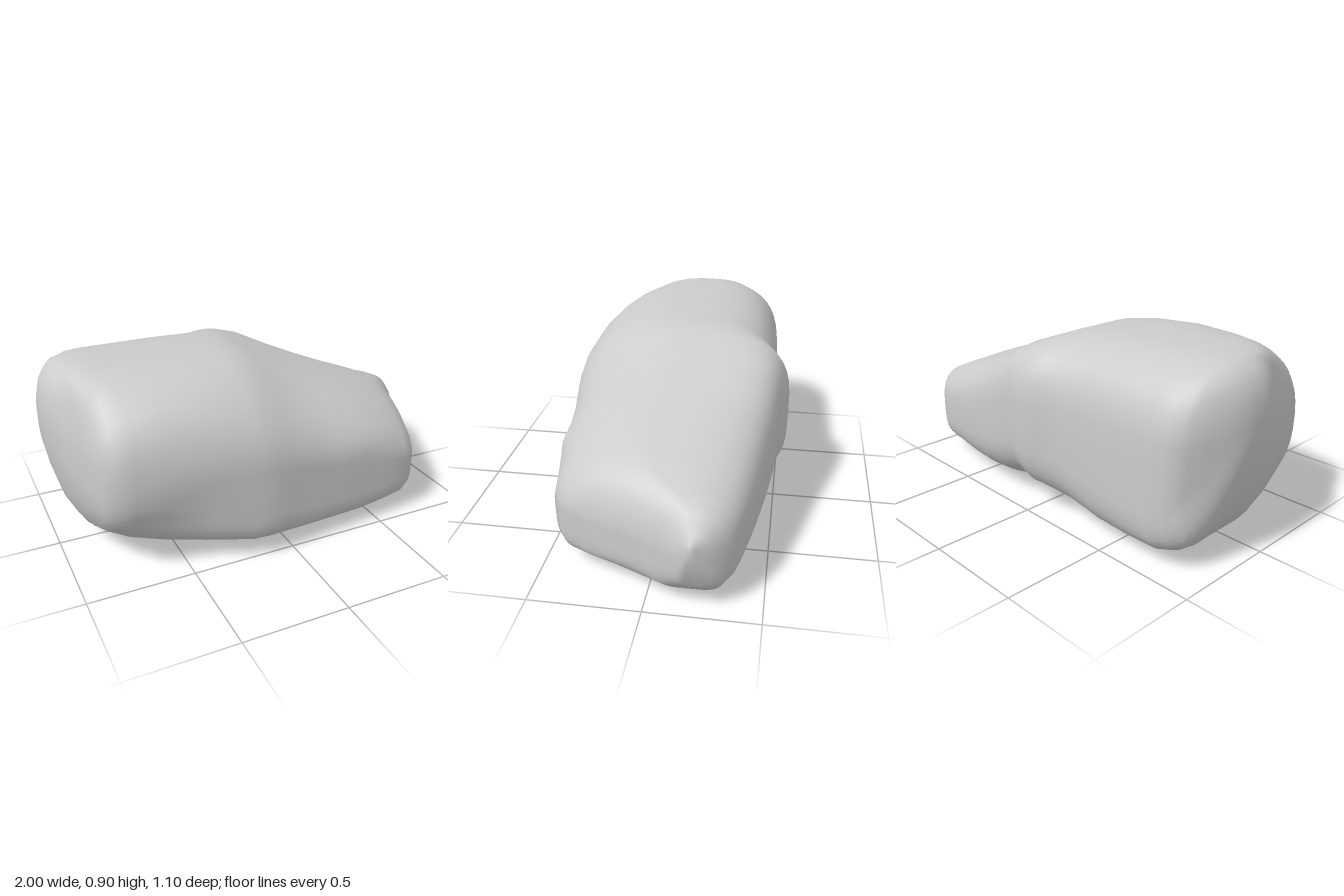
import * as THREE from 'three';

// Cross-sections along x: [x, bottom, top, back z, front z]
const SECTIONS = [
  [-1, 0.5, 0.74, -0.18, 0],
  [-0.975, 0.36, 0.82, -0.25, 0.07],
  [-0.94, 0.23, 0.86, -0.33, 0.16],
  [-0.9, 0.16, 0.885, -0.4, 0.26],
  [-0.87, 0.115, 0.895, -0.43, 0.4],
  [-0.82, 0.08, 0.905, -0.46, 0.455],
  [-0.74, 0.045, 0.905, -0.465, 0.48],
  [-0.6, 0.035, 0.9, -0.47, 0.495],
  [-0.4, 0.03, 0.897, -0.475, 0.525],
  [-0.2, 0.03, 0.89, -0.485, 0.55],
  [-0.1, 0.03, 0.88, -0.525, 0.545],
  [-0.03, 0.03, 0.855, -0.55, 0.535],
  [0.1, 0.03, 0.8, -0.515, 0.515],
  [0.25, 0.025, 0.735, -0.5, 0.5],
  [0.4, 0.02, 0.68, -0.475, 0.485],
  [0.55, 0.03, 0.62, -0.45, 0.47],
  [0.66, 0.04, 0.58, -0.43, 0.455],
  [0.73, 0.05, 0.55, -0.415, 0.41],
  [0.78, 0.055, 0.525, -0.405, 0.31],
  [0.85, 0.07, 0.495, -0.385, 0.12],
  [0.92, 0.085, 0.46, -0.345, -0.03],
  [0.97, 0.15, 0.39, -0.28, -0.13],
  [1, 0.27, 0.36, -0.22, -0.18],
];

// Corner squareness along x: [x, front top, back top, back bottom, front bottom]
const CORNERS = [
  [-1, 2.2, 2.3, 3.5, 2.4],
  [-0.75, 2.5, 3, 6, 2.6],
  [-0.45, 2.6, 3.3, 5, 3.4],
  [-0.15, 2.15, 3.2, 3.3, 6],
  [0.1, 2.05, 3.8, 2.7, 7],
  [0.45, 2.15, 3.2, 3.3, 6],
  [0.72, 1.65, 3, 3.7, 5],
  [1, 1.8, 2.6, 4, 4],
];

// Soft chips and bumps: [x, y, z, radius, push x, push y, push z]
const DENTS = [
  [-0.58, 0.24, 0.48, 0.16, 0, 0, -0.045],
  [-0.58, 0.42, 0.5, 0.08, 0, 0, 0.015],
  [-0.3, 0.3, 0.54, 0.09, 0, 0, -0.02],
  [0.4, 0.47, 0.46, 0.1, 0, 0, 0.02],
  [0.4, 0.02, 0.04, 0.07, 0, -0.02, 0],
  [-0.82, 0.14, 0.36, 0.16, 0.02, 0.03, -0.01],
  [-0.86, 0.78, 0.28, 0.16, 0.01, -0.03, -0.02],
  [0.12, 0.72, -0.42, 0.18, 0, 0.03, -0.015],
  [0.08, 0.76, 0.34, 0.25, 0, -0.02, -0.01],
  [0.02, 0.08, -0.42, 0.16, 0, 0.03, 0.01],
  [-0.86, 0.15, -0.36, 0.1, -0.02, -0.01, -0.01],
  [-0.9, 0.4, -0.4, 0.14, 0.02, 0, 0.01],
];

const AROUND = 48;

function cornersAt(x) {
  const i = Math.max(1, CORNERS.findIndex((row) => row[0] >= x));
  const a = CORNERS[i - 1], b = CORNERS[i];
  const t = (x - a[0]) / (b[0] - a[0]);
  return a.map((v, k) => THREE.MathUtils.lerp(v, b[k], t));
}

// Point on a rounded-square section; each corner has its own squareness
function sectionPoint([x, bottom, top, back, front], angle) {
  const c = Math.cos(angle), s = Math.sin(angle);
  const [, frontTop, backTop, backBottom, frontBottom] = cornersAt(x);
  const power = s > 0 ? (c > 0 ? frontTop : backTop) : (c > 0 ? frontBottom : backBottom);
  const bend = (v) => Math.sign(v) * Math.pow(Math.abs(v), 2 / power);
  const p = new THREE.Vector3(
    x,
    (bottom + top) / 2 + bend(s) * (top - bottom) / 2,
    (front + back) / 2 + bend(c) * (front - back) / 2
  );
  // The underside rises a little towards the front
  if (s < 0) p.y += 0.03 * s * s * THREE.MathUtils.smoothstep(p.z, 0.03, 0.12);
  const start = p.clone();
  for (const [dx, dy, dz, r, px, py, pz] of DENTS) {
    const d2 = start.distanceToSquared(new THREE.Vector3(dx, dy, dz));
    p.addScaledVector(new THREE.Vector3(px, py, pz), Math.exp(-d2 / (r * r)));
  }
  return p;
}

function boulderGeometry() {
  const positions = [], index = [];
  for (const section of SECTIONS) {
    for (let j = 0; j < AROUND; j++) {
      positions.push(...sectionPoint(section, (j / AROUND) * Math.PI * 2).toArray());
    }
  }
  const last = SECTIONS.length - 1;
  // Skin between neighbouring sections
  for (let i = 0; i < last; i++) {
    for (let j = 0; j < AROUND; j++) {
      const k = (j + 1) % AROUND;
      const a = i * AROUND + j, b = a + AROUND;
      const d = i * AROUND + k, c = d + AROUND;
      index.push(a, b, c, a, c, d);
    }
  }
  // Closed ends
  for (const i of [0, last]) {
    const [x, bottom, top, back, front] = SECTIONS[i];
    const centre = positions.length / 3;
    positions.push(x, (bottom + top) / 2, (back + front) / 2);
    for (let j = 0; j < AROUND; j++) {
      const a = i * AROUND + j, b = i * AROUND + (j + 1) % AROUND;
      if (i === 0) index.push(centre, a, b);
      else index.push(centre, b, a);
    }
  }
  const geometry = new THREE.BufferGeometry();
  geometry.setAttribute('position', new THREE.Float32BufferAttribute(positions, 3));
  geometry.setIndex(index);
  geometry.computeVertexNormals();
  return geometry;
}

export function createModel() {
  const group = new THREE.Group();
  group.name = 'rock';
  const boulder = new THREE.Mesh(
    boulderGeometry(),
    new THREE.MeshStandardMaterial({ color: 0xcccccc })
  );
  boulder.name = 'boulder';
  group.add(boulder);
  return group;
}
